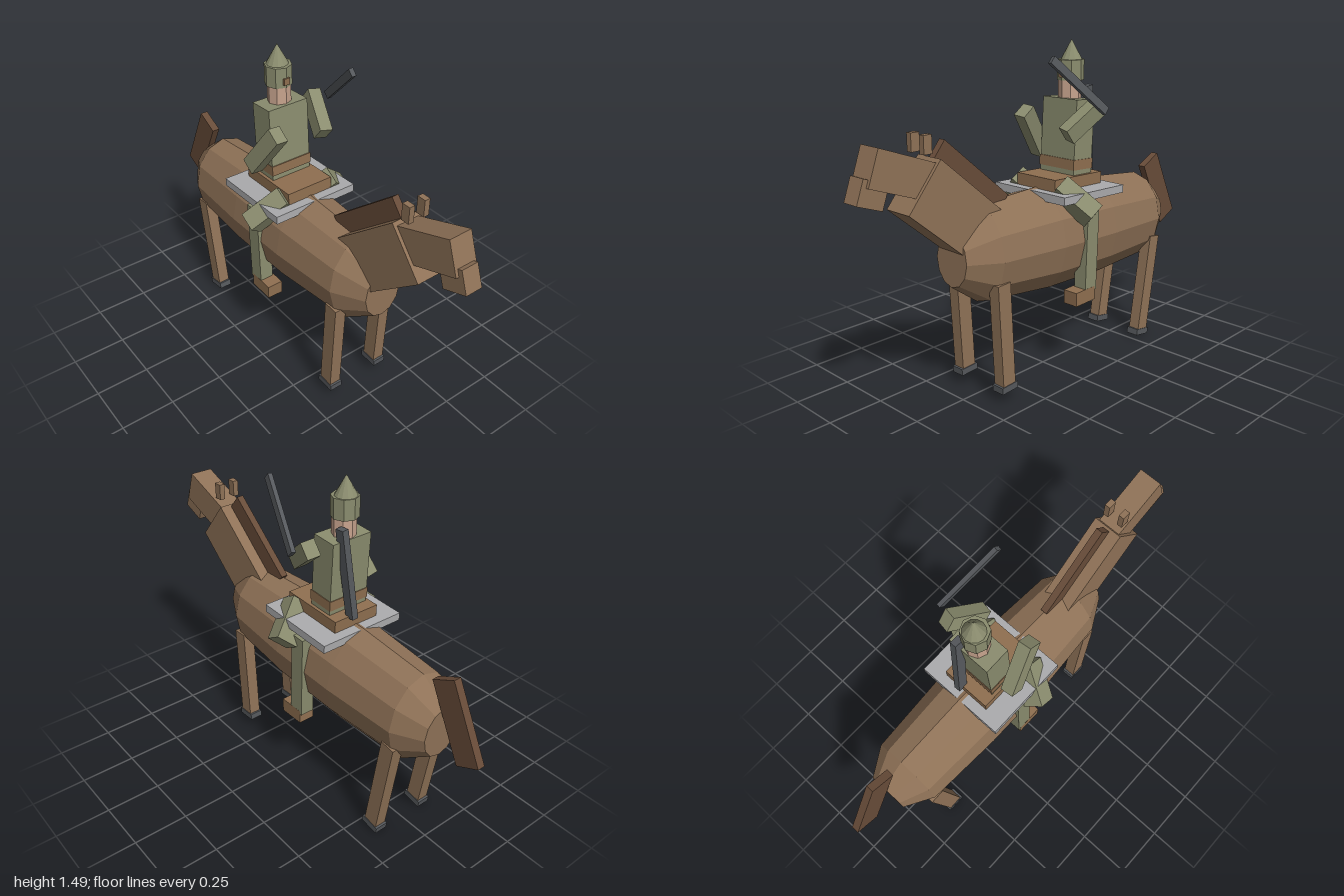
import * as THREE from 'three';

const mat = (name, color) => {
  const m = new THREE.MeshStandardMaterial({ color, flatShading: true });
  m.name = name;
  return m;
};

export function createModel() {
  const root = new THREE.Group();
  root.name = 'horseAndRider';

  const coat = mat('brown coat', 0x8f7257);
  const hair = mat('dark brown hair', 0x684c39);
  const leather = mat('leather', 0x8f6f50);
  const cloth = mat('olive cloth', 0x8a8c6e);
  const blanketGrey = mat('light grey', 0xababad);
  const metal = mat('dark metal', 0x55585c);
  const skin = mat('skin', 0xc8a48e);

  const add = (name, geo, material, pos, rx = 0, parent = root) => {
    const mesh = new THREE.Mesh(geo, material);
    mesh.name = name;
    mesh.position.set(...pos);
    mesh.rotation.x = rx;
    parent.add(mesh);
    return mesh;
  };
  const box = (name, size, material, pos, rx, parent) =>
    add(name, new THREE.BoxGeometry(...size), material, pos, rx, parent);

  // Box running between two points; its width stays as close to x as possible
  const bar = (name, from, to, w, d, material) => {
    const a = new THREE.Vector3(...from), b = new THREE.Vector3(...to);
    const dir = b.clone().sub(a);
    const length = dir.length();
    dir.normalize();
    const side = new THREE.Vector3(1, 0, 0).addScaledVector(dir, -dir.x).normalize();
    const depth = side.clone().cross(dir);
    const mesh = box(name, [w, length, d], material, a.add(b).multiplyScalar(0.5).toArray());
    mesh.quaternion.setFromRotationMatrix(new THREE.Matrix4().makeBasis(side, dir, depth));
    return mesh;
  };

  // Horse barrel: faceted lathe laid along z, slightly flattened sideways
  const profile = [[0, -0.785], [0.118, -0.785], [0.21, -0.66], [0.235, -0.3],
    [0.237, 0.05], [0.21, 0.4], [0.115, 0.54], [0, 0.54]];
  const barrel = new THREE.LatheGeometry(profile.map(p => new THREE.Vector2(...p)), 12);
  barrel.rotateX(Math.PI / 2);
  barrel.scale(0.8, 1, 1);
  add('horseBody', barrel, coat, [0, 0.623, 0], -0.035);

  // Neck with mane
  const neck = new THREE.Group();
  neck.name = 'neckGroup';
  neck.position.set(0, 0.832, 0.523);
  neck.rotation.x = 0.873;
  root.add(neck);
  box('neck', [0.138, 0.5, 0.25], coat, [0, 0, 0], 0, neck);
  box('mane', [0.032, 0.44, 0.12], hair, [0, 0.018, -0.152], 0, neck);

  // Horse head
  box('horseHead', [0.108, 0.15, 0.3], coat, [0, 1.047, 0.79], -0.35);
  box('muzzle', [0.08, 0.102, 0.118], coat, [0, 0.997, 0.928], -0.35);
  for (const s of [-1, 1]) box('ear', [0.026, 0.075, 0.04], coat, [s * 0.038, 1.148, 0.68], 0);

  // Tail
  box('tail', [0.036, 0.364, 0.12], hair, [0, 0.692, -0.863], 0.457);

  // Horse legs with hooves
  const horseLeg = (name, x, y, z, length, tilt) => {
    const leg = new THREE.Group();
    leg.name = name;
    leg.position.set(x, y, z);
    leg.rotation.x = tilt;
    root.add(leg);
    box('hoof', [0.062, 0.03, 0.09], metal, [0, 0.015, 0], 0, leg);
    box('shank', [0.056, length, 0.07], coat, [0, 0.02 + length / 2, 0], 0, leg);
  };
  for (const s of [-1, 1]) {
    horseLeg('frontLeg', s * 0.129, 0.05, 0.37, 0.47, 0.05);
    horseLeg('hindLeg', s * 0.129, 0.008, -0.563, 0.49, -0.16);
  }

  // Blanket and saddle
  box('saddleBlanket', [0.42, 0.036, 0.4], blanketGrey, [0, 0.832, -0.11], -0.035);
  box('saddle', [0.23, 0.055, 0.31], leather, [0, 0.876, -0.11], -0.035);

  // Rider torso and belt
  box('torso', [0.2, 0.335, 0.12], cloth, [0, 1.067, -0.16], -0.06);
  box('belt', [0.206, 0.046, 0.128], leather, [0, 0.947, -0.152], -0.06);

  // Rider head and pointed helmet
  add('face', new THREE.CylinderGeometry(0.052, 0.052, 0.1, 8), skin, [0, 1.275, -0.175]);
  add('helmet', new THREE.CylinderGeometry(0.06, 0.06, 0.09, 8), cloth, [0, 1.358, -0.18]);
  add('helmetPoint', new THREE.ConeGeometry(0.05, 0.09, 12), cloth, [0, 1.445, -0.185]);
  box('helmetBadge', [0.028, 0.03, 0.009], leather, [0, 1.342, -0.12], 0);

  // Arms
  bar('leftArm', [0.12, 1.095, -0.02], [0.17, 1.215, -0.175], 0.06, 0.075, cloth);
  bar('rightArm', [-0.16, 0.975, -0.155], [-0.125, 1.18, -0.01], 0.06, 0.075, cloth);

  // Rider legs and boots
  for (const s of [-1, 1]) {
    bar('thigh', [s * 0.24, 0.75, -0.065], [s * 0.1, 0.87, 0.005], 0.1, 0.085, cloth);
    box('shin', [0.066, 0.4, 0.075], cloth, [s * 0.167, 0.585, -0.11], -0.035);
    box('boot', [0.075, 0.064, 0.125], leather, [s * 0.163, 0.367, -0.068], 0.02);
  }

  // Raised sword and scabbard on the back
  bar('sword', [0.237, 1.2, -0.14], [0.157, 1.43, 0.115], 0.02, 0.036, metal);
  bar('scabbard', [0.027, 0.89, -0.268], [0.056, 1.288, -0.228], 0.03, 0.045, metal);

  return root;
}
